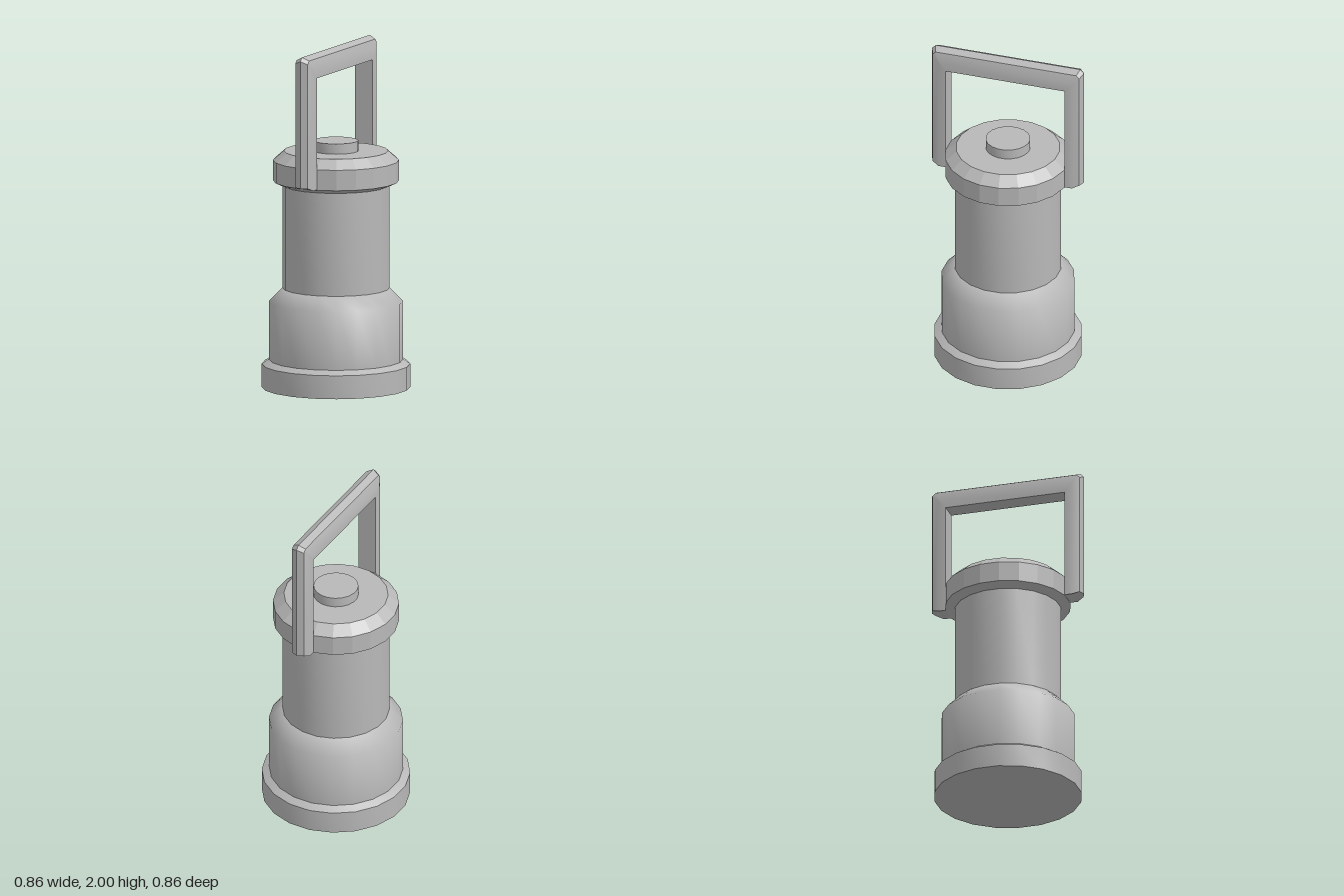
import * as THREE from 'three';
import { toCreasedNormals } from 'three/addons/utils/BufferGeometryUtils.js';

const SIDES = 20;
const SMOOTH = 0.9;
const FACETED = 0.1;

export function createModel() {
  const model = new THREE.Group();
  const grey = new THREE.MeshStandardMaterial({ color: 0xb8b8b8 });
  grey.name = 'plain grey';

  function add(name, geometry, crease) {
    const mesh = new THREE.Mesh(toCreasedNormals(geometry, crease), grey);
    mesh.name = name;
    model.add(mesh);
    return mesh;
  }

  // Turned part from a [radius, height] profile, bottom to top
  function turned(name, profile, crease) {
    const points = profile.map(([r, y]) => new THREE.Vector2(r, y));
    return add(name, new THREE.LatheGeometry(points, SIDES), crease);
  }

  turned('base', [[0, 0], [0.43, 0], [0.43, 0.137], [0.388, 0.162], [0, 0.162]], 0.5);
  turned('lowerBody', [[0.388, 0.15], [0.388, 0.505], [0.31, 0.583], [0, 0.583]], SMOOTH);
  turned('upperBody', [[0.31, 0.57], [0.31, 1.2]], SMOOTH);
  turned('collar', [[0, 1.187], [0.31, 1.187], [0.365, 1.212], [0.365, 1.332], [0.302, 1.387], [0, 1.387]], FACETED);
  turned('topButton', [[0.13, 1.38], [0.13, 1.447], [0, 1.447]], SMOOTH);

  // Handle: bevelled section [outward offset, thickness] swept around a square arch
  const section = [[0, -0.057], [0.045, -0.057], [0.085, -0.04], [0.101, 0], [0.085, 0.04], [0.045, 0.057], [0, 0.057]];
  const rows = section.map(([d, t]) => {
    const x = 0.36 + d;
    const top = 1.87 + d * 1.287;
    const cut = d * 0.22;
    const foot = d > 0.08 ? 1.232 : 1.215;
    const half = [[x, foot], [x, top - cut], [x - cut, top]];
    const left = half.map(([px, py]) => [-px, py, t]);
    const right = half.map(([px, py]) => [px, py, t]).reverse();
    return [...left, ...right];
  });
  const n = rows.length;
  const stations = rows[0].length;
  const positions = [];
  const face = (...corners) => corners.forEach((p) => positions.push(...p));
  for (let i = 0; i < stations - 1; i++) {
    for (let j = 0; j < n; j++) {
      const k = (j + 1) % n;
      face(rows[j][i], rows[k][i], rows[k][i + 1]);
      face(rows[j][i], rows[k][i + 1], rows[j][i + 1]);
    }
  }
  // Feet of the handle
  for (let j = 1; j < n - 1; j++) {
    face(rows[0][0], rows[j + 1][0], rows[j][0]);
    face(rows[0][stations - 1], rows[j][stations - 1], rows[j + 1][stations - 1]);
  }
  const arch = new THREE.BufferGeometry();
  arch.setAttribute('position', new THREE.Float32BufferAttribute(positions, 3));
  add('carryHandle', arch, 0.5).rotation.y = Math.PI / 4;

  return model;
}
